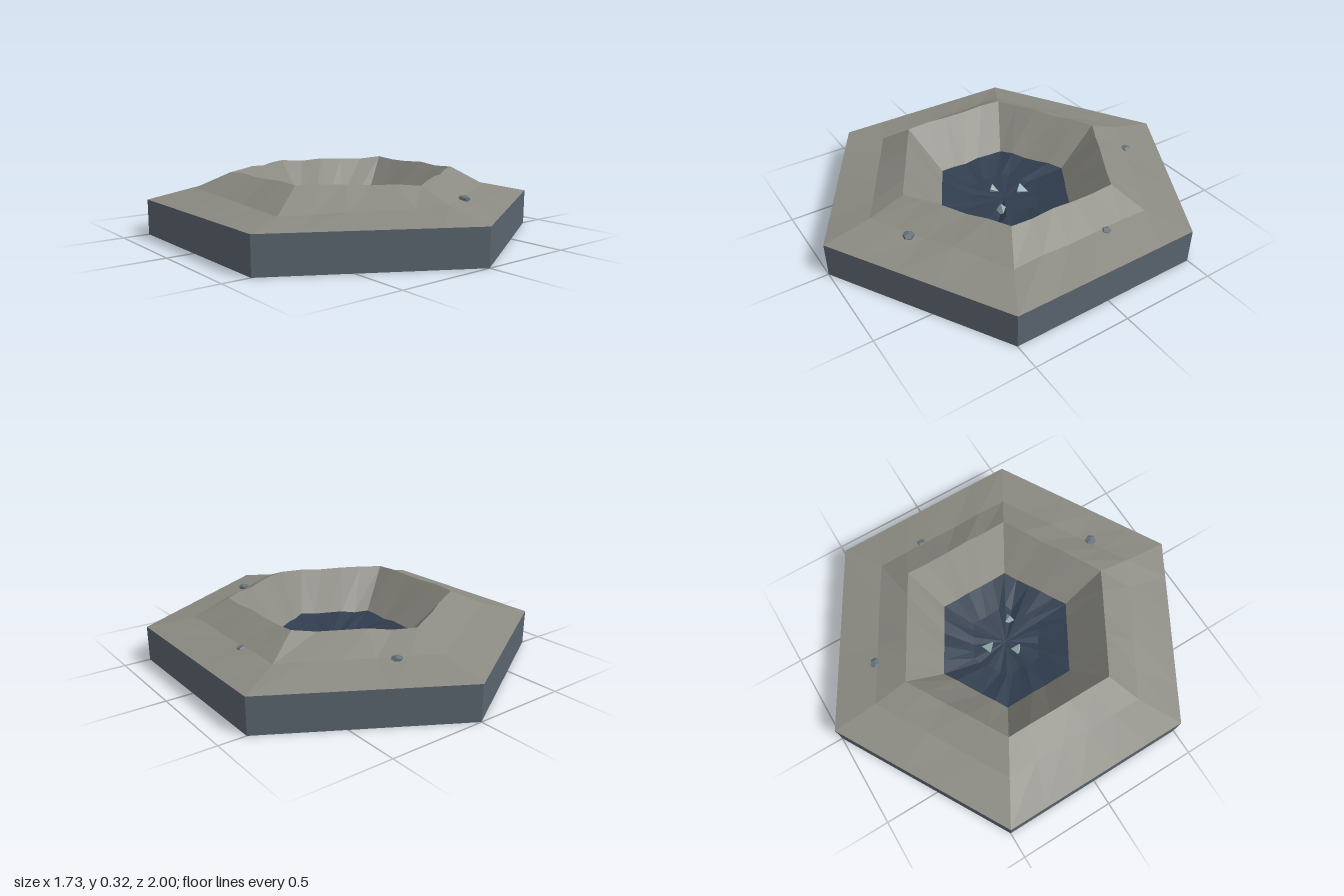
import * as THREE from 'three';

const N = 5; // subdivisions per hexagon side
const COUNT = 6 * N;

// Small repeatable wobble in -1..1
const wobble = (i, seed) => Math.sin(i * 2.3 + seed) * 0.6 + Math.sin(i * 4.1 + seed * 2.7) * 0.4;

const corner = (k, r) => new THREE.Vector2(Math.sin(k * Math.PI / 3) * r, Math.cos(k * Math.PI / 3) * r);

// Hexagonal loop of points; heights are given per corner, corner 0 at +z
function hexRing(r, heights, rough = 0, seed = 0) {
  return Array.from({ length: COUNT }, (_, i) => {
    const k = Math.floor(i / N), t = (i % N) / N;
    const p = corner(k, r).lerp(corner(k + 1, r), t);
    const y = THREE.MathUtils.lerp(heights[k], heights[(k + 1) % 6], t);
    return new THREE.Vector3(p.x, y + rough * wobble(i, seed), p.y);
  });
}
const level = y => Array(6).fill(y);

// Skin joining successive loops, listed from outside to inside
function skin(rings) {
  const pos = [];
  for (let r = 0; r < rings.length - 1; r++) {
    for (let i = 0; i < COUNT; i++) {
      const j = (i + 1) % COUNT;
      const a = rings[r][i], b = rings[r][j], c = rings[r + 1][j], d = rings[r + 1][i];
      for (const p of [a, b, c, a, c, d]) pos.push(p.x, p.y, p.z);
    }
  }
  const geo = new THREE.BufferGeometry();
  geo.setAttribute('position', new THREE.Float32BufferAttribute(pos, 3));
  geo.computeVertexNormals();
  return geo;
}

const flat = color => new THREE.MeshStandardMaterial({ color, flatShading: true });

export function createModel() {
  const group = new THREE.Group();
  const add = (name, geo, mat) => {
    const mesh = new THREE.Mesh(geo, mat);
    mesh.name = name;
    group.add(mesh);
    return mesh;
  };

  const slate = flat(0x59636d), soil = flat(0x8b8a82), deep = flat(0x303d4e);
  const stone = flat(0x66737a), crystal = flat(0x9db4b8);

  // Hexagonal base, open on top so the crater can sink into it
  add('baseSides', skin([hexRing(1, level(0)), hexRing(1, level(0.18))]), slate);
  add('baseBottom', new THREE.CircleGeometry(1, 6, Math.PI / 2).rotateX(Math.PI / 2), slate);

  // Raised ground: outer slope, crater rim and inner wall
  const edge = hexRing(1, level(0.18));
  const slope = hexRing(0.76, [0.23, 0.225, 0.228, 0.235, 0.235, 0.205], 0.006, 1);
  const rim = hexRing(0.58, [0.305, 0.318, 0.315, 0.305, 0.315, 0.318], 0.006, 4);
  const foot = hexRing(0.38, level(0.1), 0.006, 2);
  add('craterGround', skin([edge, slope, rim, foot]), soil);

  // Dark crater floor, with one folded crease toward the front right corner
  const middle = hexRing(0.2, level(0.065), 0.006, 5);
  middle[4].y -= 0.02;
  middle[5].y += 0.012;
  const centre = hexRing(0, level(0.05));
  add('craterFloor', skin([foot, middle, centre]), deep);

  // Crystals on the floor
  [[0.01, -0.1, 0.034], [-0.075, 0.025, 0.03], [0.1, 0.08, 0.034]].forEach(([x, z, r], i) => {
    const m = add('crystal' + (i + 1), new THREE.TetrahedronGeometry(r * 1.2), crystal);
    m.position.set(x, 0.063, z);
    m.rotation.set(0.5 + i, i * 1.9, 0.3);
  });

  // Loose stones on the outer slope
  [[0.19, -0.66], [0.665, -0.13], [0.205, 0.66]].forEach(([x, z], i) => {
    const m = add('stone' + (i + 1), new THREE.DodecahedronGeometry(0.03), stone);
    m.position.set(x, i === 1 ? 0.217 : 0.228, z);
    m.scale.y = 0.6;
    m.rotation.y = i * 1.3;
  });

  return group;
}
